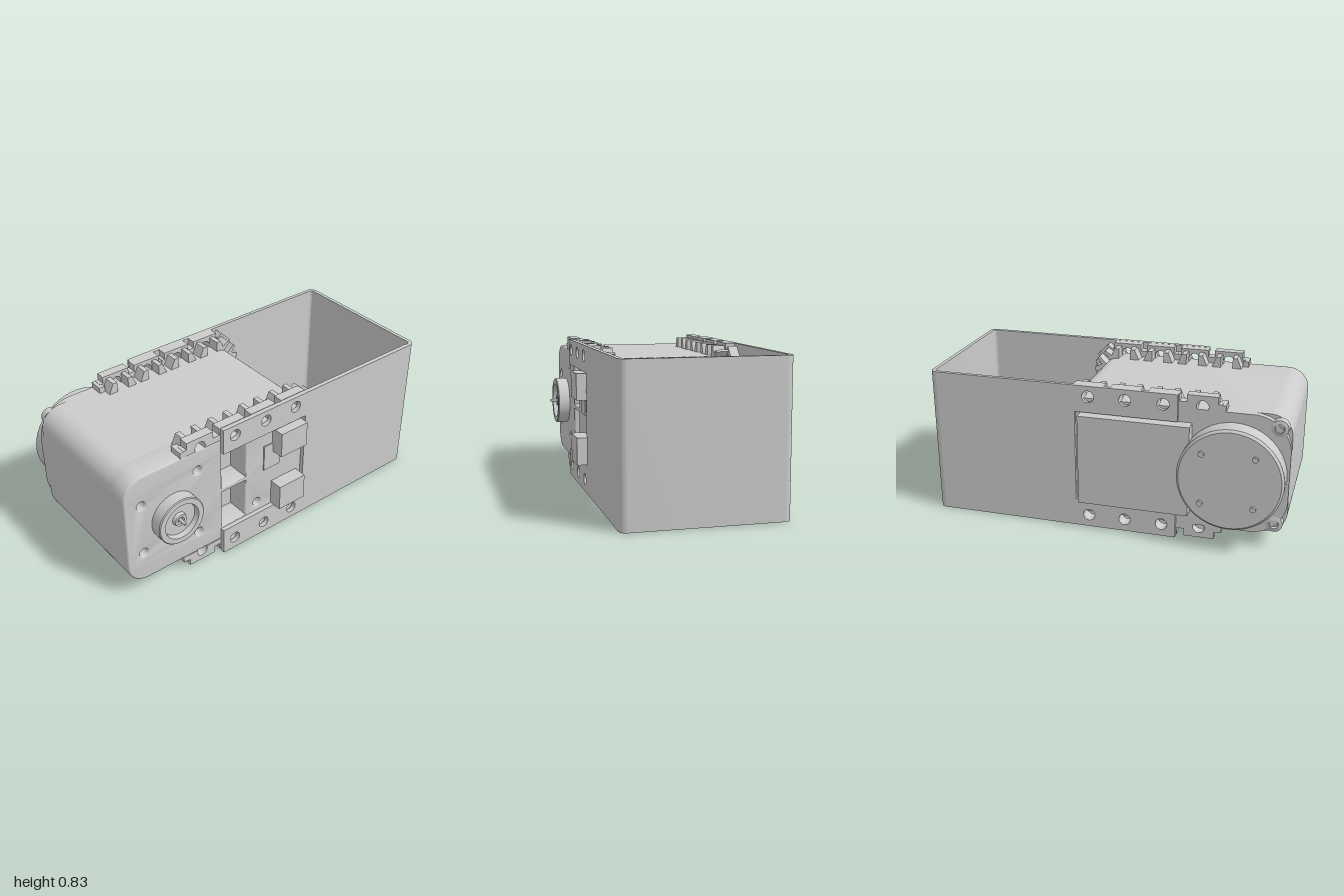
import * as THREE from 'three';
import { toCreasedNormals } from 'three/addons/utils/BufferGeometryUtils.js';

const MID = 0.42; // height of the horizontal symmetry plane
const mat = new THREE.MeshStandardMaterial({ color: 0xcccccc, side: THREE.DoubleSide });

function add(parent, name, geo, x = 0, y = 0, z = 0) {
  const m = new THREE.Mesh(geo, mat);
  m.name = name;
  m.position.set(x, y, z);
  parent.add(m);
  return m;
}

// Extrudes a shape between two z values, with an optional inset bevel
function slab(shape, z0, z1, bevel = 0) {
  const g = new THREE.ExtrudeGeometry(shape, {
    depth: z1 - z0 - 2 * bevel, curveSegments: 10, bevelEnabled: bevel > 0,
    bevelSize: bevel, bevelThickness: bevel, bevelOffset: -bevel, bevelSegments: 3,
  });
  g.translate(0, 0, z0 + bevel);
  return toCreasedNormals(g, 0.6);
}

const box = (x0, x1, y0, y1, z0, z1) =>
  new THREE.BoxGeometry(x1 - x0, y1 - y0, z1 - z0).translate((x0 + x1) / 2, (y0 + y1) / 2, (z0 + z1) / 2);

const poly = (pts) => new THREE.Shape(pts.map(([x, y]) => new THREE.Vector2(x, y)));

function circle(x, y, r) {
  return new THREE.Path().absarc(x, y, r, 0, Math.PI * 2, true);
}

// Lathe turned so that its axis runs along z
function turned(pts) {
  const g = new THREE.LatheGeometry(pts.map(([r, z]) => new THREE.Vector2(r, z)), 48);
  return toCreasedNormals(g.rotateX(Math.PI / 2), 0.6);
}

// Servo outline: rl rounds the left corners, rr the right ones
function outline(rl, rr) {
  const [x0, x1, y0, y1] = [-1, 0.21, 0.085, 0.755];
  const s = new THREE.Shape();
  s.moveTo(x0 + rl, y0);
  s.lineTo(x1 - rr, y0);
  s.absarc(x1 - rr, y0 + rr, rr, -Math.PI / 2, 0);
  s.lineTo(x1, y1 - rr);
  s.absarc(x1 - rr, y1 - rr, rr, 0, Math.PI / 2);
  s.lineTo(x0 + rl, y1);
  s.absarc(x0 + rl, y1 - rl, rl, Math.PI / 2, Math.PI);
  s.lineTo(x0, y0 + rl);
  s.absarc(x0 + rl, y0 + rl, rl, Math.PI, Math.PI * 1.5);
  return s;
}

// Mounting lug: stepped plate with a bolt notch, and two sloped cheeks holding a nut
function lugParts() {
  const r = 0.033, hy = 0.015, hx = Math.sqrt(r * r - hy * hy), a = Math.atan2(hy, hx);
  const s = new THREE.Shape();
  s.moveTo(-0.1025, 0);
  s.lineTo(-hx, 0);
  s.absarc(0, hy, r, Math.PI + a, -a, true);
  s.lineTo(0.1025, 0);
  s.lineTo(0.1025, 0.035);
  s.lineTo(0.083, 0.035);
  s.lineTo(0.083, 0.075);
  s.lineTo(-0.083, 0.075);
  s.lineTo(-0.083, 0.035);
  s.lineTo(-0.1025, 0.035);
  const plate = slab(s, -0.055, 0);
  const cheeks = [-1, 1].map((k) => slab(
    poly([[0.035, -0.005], [0.09, -0.005], [0.062, 0.06], [0.035, 0.06]].map(([x, y]) => [k * x, y])), -0.125, -0.05));
  return [plate, ...cheeks];
}

function addLugs(group) {
  const parts = lugParts();
  const place = (x, y, angle, scale = 1) => {
    for (const front of [true, false]) {
      const lug = new THREE.Group();
      lug.name = 'mountingLug';
      parts.forEach((g, i) => add(lug, i ? 'nutCheek' : 'lugPlate', g));
      lug.position.set(x, y, front ? 0.43 : -0.4);
      lug.rotation.order = 'ZYX';
      lug.rotation.set(0, front ? 0 : Math.PI, angle);
      lug.scale.x = scale;
      group.add(lug);
    }
  };
  for (const x of [-0.532, -0.327, -0.12, 0.085]) {
    place(x, 0.755, 0);
    place(x, 0.085, Math.PI);
  }
  for (const y of [0.21, MID, 0.63]) place(0.21, y, -Math.PI / 2);
  place(0.187, 0.73, -Math.PI / 4, 0.55);
  place(0.187, 0.11, -Math.PI * 0.75, 0.55);
}

function servo() {
  const g = new THREE.Group();
  g.name = 'servo';
  // Case: back cover with cut corners, core, and front cover with pockets
  add(g, 'backCover', slab(outline(0.2, 0.08), -0.4, -0.36));
  add(g, 'caseCore', slab(outline(0.12, 0.08), -0.365, 0.3));
  const face = outline(0.12, 0.08);
  face.holes.push(
    poly([[-0.395, 0.17], [-0.235, 0.17], [-0.235, 0.405], [-0.395, 0.405]]),
    poly([[-0.395, 0.435], [-0.235, 0.435], [-0.235, 0.67], [-0.395, 0.67]]),
    ...[[-0.9, 0.575], [-0.9, 0.265], [-0.55, 0.63], [-0.55, 0.215], [-0.15, 0.215]]
      .map(([x, y]) => circle(x, y, 0.025)),
  );
  add(g, 'frontCover', slab(face, 0.28, 0.43, 0.008));
  for (const y of [0.25, 0.59]) add(g, 'endRib', box(0.2, 0.245, y - 0.025, y + 0.025, -0.38, 0.41));

  // Front connectors and the small stepped pad beside them
  add(g, 'lowerConnector', box(-0.05, 0.13, 0.16, 0.315, 0.4, 0.508));
  add(g, 'upperConnector', box(-0.05, 0.13, 0.525, 0.675, 0.4, 0.508));
  add(g, 'steppedPad', slab(poly([[-0.11, 0.42], [0, 0.42], [0, 0.525], [-0.05, 0.525], [-0.05, 0.58],
    [-0.11, 0.58], [-0.11, 0.54], [-0.2, 0.54], [-0.18, 0.62], [-0.11, 0.67], [-0.05, 0.67], [-0.05, 0.58],
    [-0.04, 0.53], [-0.11, 0.53]].slice(0, 6)), 0.42, 0.437));

  // Front output horn with a recessed ring and a central screw
  add(g, 'frontHorn', turned([[0.14, 0.42], [0.14, 0.495], [0.135, 0.5], [0.105, 0.5], [0.1, 0.47],
    [0.04, 0.47], [0.035, 0.49], [0.02, 0.49], [0.015, 0.475], [0, 0.475]]), -0.705, MID);
  add(g, 'hornPin', new THREE.CylinderGeometry(0.009, 0.009, 0.06, 12).rotateX(Math.PI / 2), -0.705, MID, 0.5);

  // Back disc with four small screws
  add(g, 'backDisc', turned([[0, -0.518], [0.27, -0.518], [0.283, -0.505], [0.283, -0.405], [0.27, -0.395], [0, -0.395]]),
    -0.705, MID);
  for (const dx of [-0.14, 0.14]) for (const dy of [-0.14, 0.14]) {
    add(g, 'discScrew', new THREE.CylinderGeometry(0.016, 0.016, 0.04, 10).rotateX(Math.PI / 2),
      -0.695 + dx, MID + dy, -0.512);
  }

  // Back plate and corner screws
  add(g, 'backPlate', box(-0.48, 0.13, 0.165, 0.675, -0.47, -0.38));
  for (const k of [-1, 1]) {
    add(g, 'cornerScrew', turned([[0, -0.39], [0.02, -0.39], [0.025, -0.405], [0.045, -0.4], [0.048, -0.36]]),
      -0.935, MID + k * 0.272);
  }
  // Shoulders in front of the first lugs
  for (const y of [0.77, 0.07]) {
    add(g, 'frontShoulder', box(-0.655, -0.62, y - 0.018, y + 0.018, 0.35, 0.43));
    add(g, 'backShoulder', box(-0.655, -0.62, y - 0.018, y + 0.018, -0.4, -0.32));
  }
  addLugs(g);
  return g;
}

function bracket() {
  const g = new THREE.Group();
  g.name = 'bracket';
  const H = 0.83, xe = 0.95;
  // Side walls: C-shaped cut-out and bolt holes
  const wall = poly([[-0.405, 0], [xe, 0], [xe, H], [-0.405, H], [-0.405, 0.68], [0.16, 0.68], [0.16, 0.16], [-0.405, 0.16]]);
  for (const x of [-0.327, -0.12, 0.085]) for (const y of [0.07, 0.77]) wall.holes.push(circle(x, y, 0.033));
  add(g, 'frontWall', slab(wall, 0.433, 0.458));
  add(g, 'backWall', slab(wall, -0.42, -0.398));

  // End wall with rounded corners, drawn in plan and extruded upward
  const s = new THREE.Shape();
  const ro = 0.04, ri = 0.018, zf = 0.458, zb = -0.42, t = 0.022, cx = 1 - ro;
  s.moveTo(xe, -zf);
  s.lineTo(cx, -zf);
  s.absarc(cx, -zf + ro, ro, -Math.PI / 2, 0);
  s.lineTo(1, -zb - ro);
  s.absarc(cx, -zb - ro, ro, 0, Math.PI / 2);
  s.lineTo(xe, -zb);
  s.lineTo(xe, -zb - t);
  s.absarc(cx, -zb - ro, ri, Math.PI / 2, 0, true);
  s.absarc(cx, -zf + ro, ri, 0, -Math.PI / 2, true);
  s.lineTo(xe, -zf + t);
  add(g, 'endWall', slab(s, 0, H).rotateX(-Math.PI / 2));
  return g;
}

export function createModel() {
  const model = new THREE.Group();
  model.name = 'servoWithBracket';
  model.add(servo(), bracket());
  return model;
}
